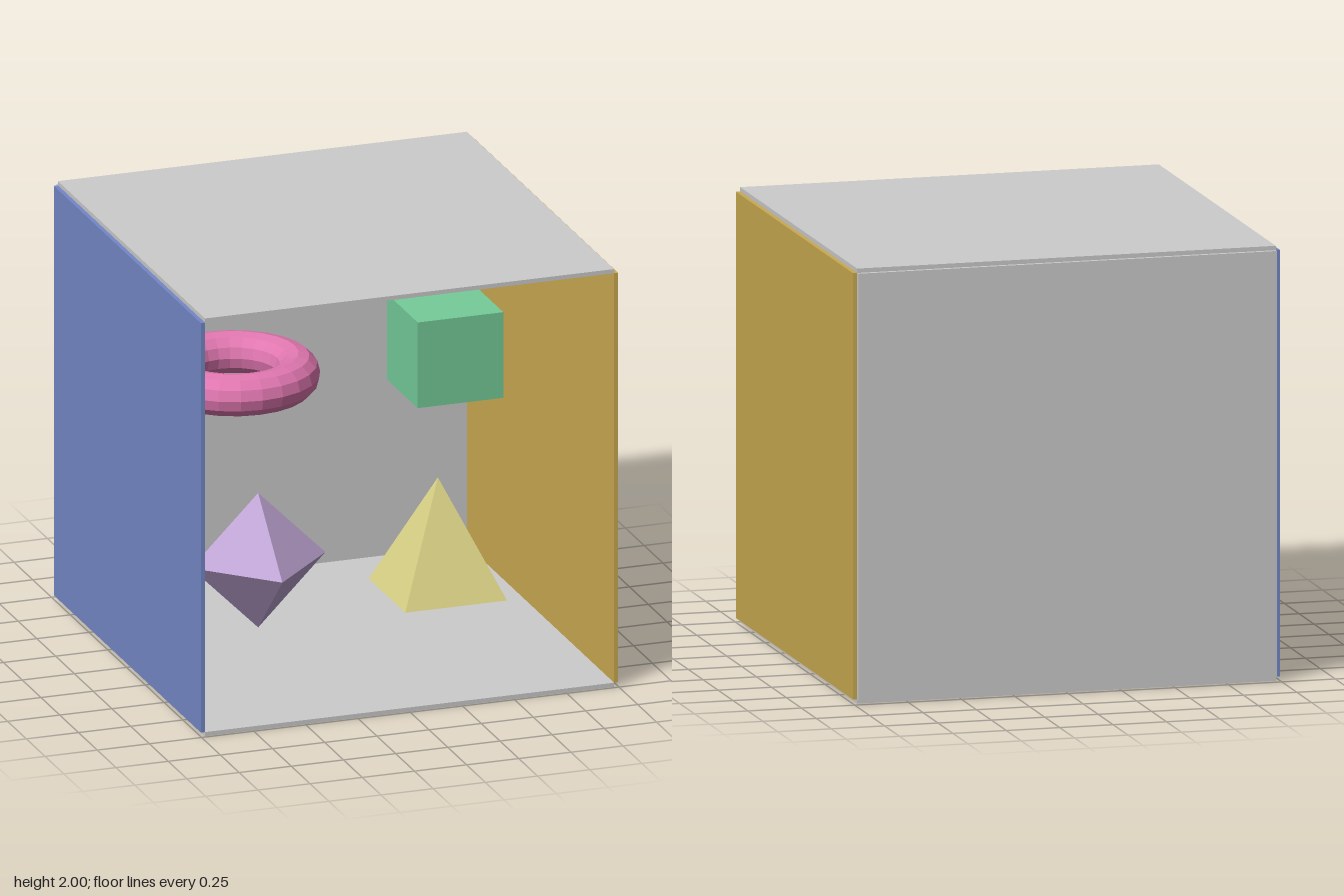
import * as THREE from 'three';

export function createModel() {
  const model = new THREE.Group();
  model.name = 'shapeRoom';

  const mat = (name, color, flatShading = false) => {
    const m = new THREE.MeshStandardMaterial({ color, flatShading });
    m.name = name;
    return m;
  };
  const grey = mat('lightGrey', 0xcccccc);
  const gold = mat('gold', 0xcaaa51);
  const blue = mat('blue', 0x7488c8);
  const green = mat('green', 0x75cc9a);
  const yellow = mat('paleYellow', 0xdbd387, true);
  const purple = mat('lilac', 0xc0a6d6, true);
  const pink = mat('pink', 0xe077b0, true);

  const add = (name, geometry, material, x, y, z) => {
    const mesh = new THREE.Mesh(geometry, material);
    mesh.name = name;
    mesh.position.set(x, y, z);
    model.add(mesh);
    return mesh;
  };
  const box = (name, w, h, d, material, x, y, z) =>
    add(name, new THREE.BoxGeometry(w, h, d), material, x, y, z);

  // Room panels: equal square slabs, open at the front
  const S = 1.96, T = 0.02, Z = 0.01;
  box('floor', S, T, S, grey, 0, T / 2, Z);
  box('ceiling', S, T, S, grey, 0, 2 - T / 2, Z);
  box('backWall', S, S, T, grey, 0, 1, -0.98);
  box('leftWall', T, S, S, gold, 0.99, 1, Z);
  box('rightWall', T, S, S, blue, -0.99, 1, Z);

  // Square lamp panel under the ceiling
  box('ceilingPanel', 1.375, T, 1.375, grey, 0, 1.975, Z);

  // Floating solids
  const ring = add('ring', new THREE.TorusGeometry(0.293, 0.098, 12, 24), pink, -0.49, 1.35, Z);
  ring.rotation.x = Math.PI / 2;
  box('cube', 0.41, 0.41, 0.41, green, 0.487, 1.397, 0.11);
  add('octahedron', new THREE.OctahedronGeometry(0.322), purple, -0.443, 0.515, 0.205);
  const pyramid = add('pyramid', new THREE.ConeGeometry(0.244 * Math.SQRT2, 0.537, 4), yellow, 0.488, 0.465, Z);
  pyramid.rotation.y = Math.PI / 4;

  return model;
}
